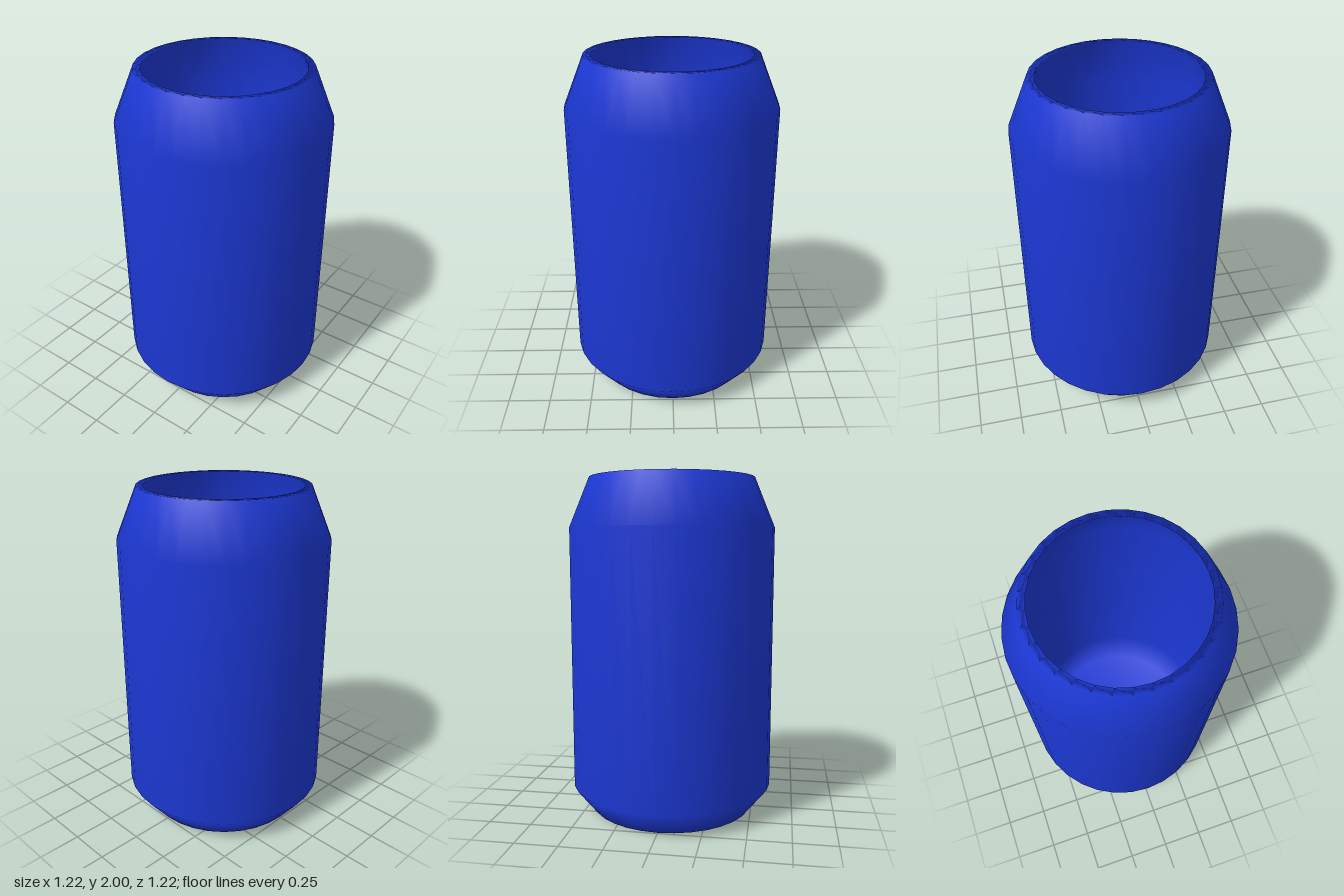
import * as THREE from 'three';

const SEGMENTS = 32;

export function createModel() {
  const group = new THREE.Group();
  group.name = 'openCan';

  // Closed wall profile: up the outside, over the lip, down the inside
  const profile = [
    [0, 0], [0.49, 0], [0.61, 0.15], [0.61, 1.71], [0.49, 2],
    [0.45, 2], [0.57, 1.7], [0.57, 0.17], [0.47, 0.04], [0, 0.04],
  ].map(([r, y]) => new THREE.Vector2(r, y));

  const material = new THREE.MeshStandardMaterial({ color: 0x1c38d4 });
  const body = new THREE.Mesh(new THREE.LatheGeometry(profile, SEGMENTS), material);
  body.name = 'canBody';
  group.add(body);

  return group;
}
